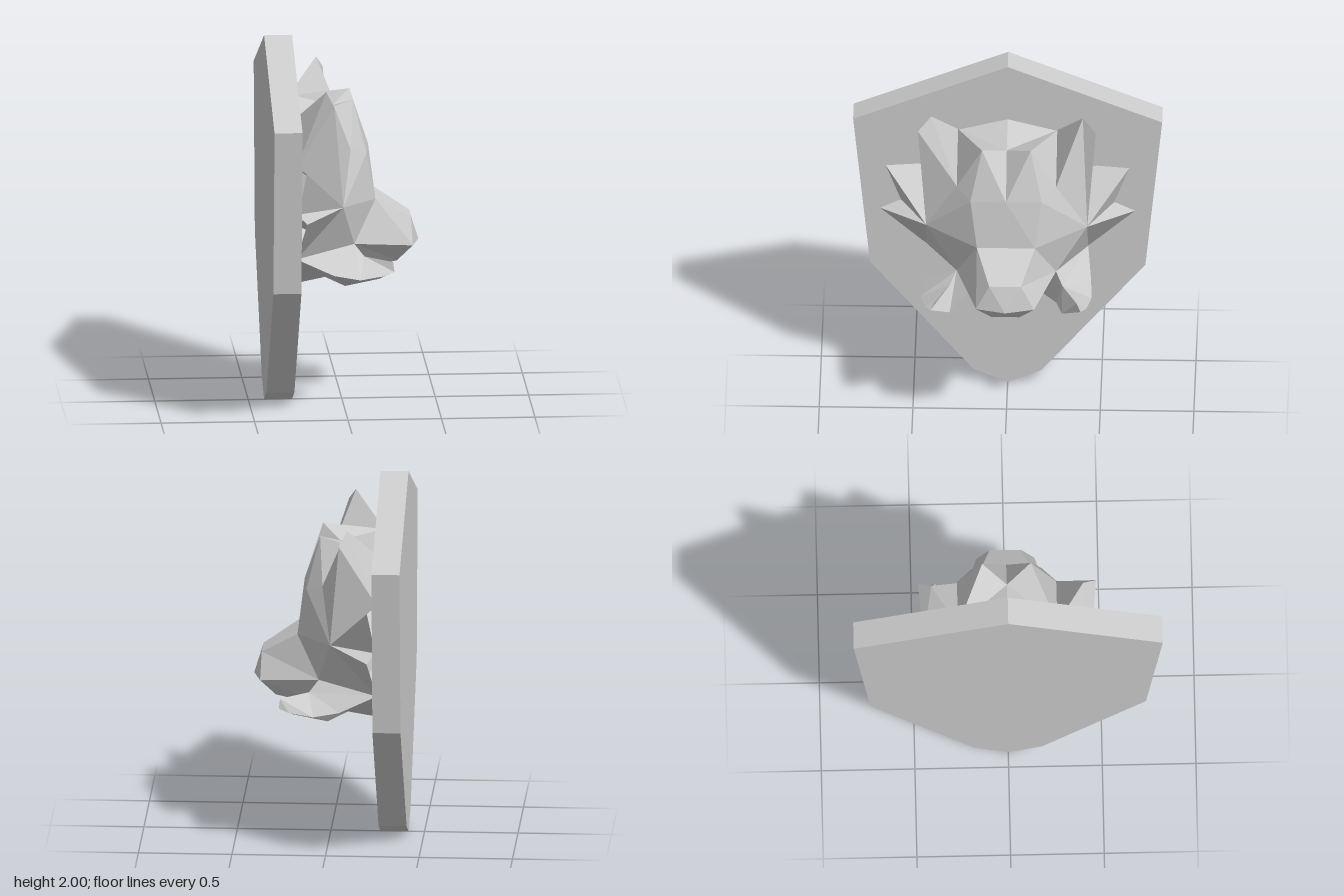
import * as THREE from 'three';

// Key points of the left half (z >= 0) of the head, which looks along +x
const P = {
  // forehead, crown and tufts
  F0: [0.14, 1.4, 0], F1: [0.12, 1.39, 0.19], M: [0.03, 1.43, 0.265], K: [0.05, 1.67, 0.13],
  N: [-0.05, 1.61, 0], R: [-0.27, 1.67, 0], Q2: [-0.27, 1.6, 0.265],
  // ear
  E: [-0.11, 1.78, 0.405], E2: [-0.07, 1.71, 0.475], Q: [-0.27, 1.38, 0.45],
  // cheek and its spikes
  H: [-0.02, 1.15, 0.43], U: [-0.23, 1.39, 0.65], V: [-0.27, 1.15, 0.57],
  L: [-0.23, 1.12, 0.68], A: [-0.27, 0.87, 0.43],
  // snout and throat
  S: [0.17, 1.13, 0.155], Sm: [0.17, 1.13, 0], T1: [0.05, 0.91, 0.265],
  N1: [0.365, 1.01, 0.085], Nm: [0.365, 1.01, 0], N2: [0.37, 0.87, 0.155], P: [0.41, 0.87, 0],
  J: [0.29, 0.77, 0.075], Jm: [0.29, 0.77, 0],
  B0: [-0.1, 0.705, 0.155], Bm: [-0.1, 0.705, 0], C: [-0.27, 0.63, 0],
  // tusk
  T2: [0.1, 0.85, 0.3], O1: [-0.07, 0.78, 0.45], O2: [0.07, 0.755, 0.455], O3: [0.2, 0.77, 0.43],
  P1: [0.25, 0.835, 0.38], P2: [0.255, 0.785, 0.4], B1: [0, 0.68, 0.265], B2: [0.18, 0.725, 0.3],
};

// Faces of each part, corners counter-clockwise from outside
const PARTS = {
  face: ['F0 F1 S', 'F0 S Sm', 'F1 M H', 'F1 H S', 'S H T1', 'H A T1'],
  crown: ['K F1 F0', 'K M F1', 'N K F0', 'N R Q2', 'N Q2 K', 'K Q2 M'],
  ear: ['M Q2 E', 'E2 H M E', 'E2 Q H', 'E Q E2', 'E Q2 Q'],
  upperCheekSpike: ['H Q U', 'H U V'],
  lowerCheekSpike: ['H V L', 'H L A'],
  snout: ['S T1 N2 N1', 'Sm S N1 Nm', 'Nm N1 P', 'N1 N2 P'],
  jaw: ['P N2 J', 'P J Jm', 'T1 B0 J N2', 'Jm J B0 Bm', 'Bm B0 C', 'B0 A C'],
  tusk: ['T1 A O1 O2 T2', 'T2 O2 O3 P2 P1', 'A B0 O1', 'O1 B0 B1 O2', 'O2 B1 B2 O3',
    'O3 B2 P2', 'T2 P1 P2 B2', 'T1 T2 B2 B1', 'T1 B1 B0'],
};

// Fans each face into triangles; side -1 mirrors it across z = 0
function facetGeometry(faces, side) {
  const pos = [];
  for (const face of faces) {
    const pts = face.split(' ').map((k) => [P[k][0], P[k][1], P[k][2] * side]);
    if (side < 0) pts.reverse();
    for (let i = 1; i < pts.length - 1; i++) pos.push(...pts[0], ...pts[i], ...pts[i + 1]);
  }
  const g = new THREE.BufferGeometry();
  g.setAttribute('position', new THREE.Float32BufferAttribute(pos, 3));
  g.computeVertexNormals();
  return g;
}

export function createModel() {
  const model = new THREE.Group();
  model.name = 'wallTrophy';
  const grey = new THREE.MeshStandardMaterial({
    name: 'light grey', color: 0xcccccc, flatShading: true, side: THREE.DoubleSide,
  });

  // Shield-shaped backing board
  const half = [[0.825, 1.66], [0.735, 0.755], [0.18, 0.08]];
  const outline = [[0, 2], ...half.map(([z, y]) => [-z, y]), [0, 0], ...half.slice().reverse()];
  const shape = new THREE.Shape(outline.map(([z, y]) => new THREE.Vector2(z, y)));
  const board = new THREE.ExtrudeGeometry(shape, { depth: 0.15, bevelEnabled: false });
  board.rotateY(Math.PI / 2).translate(-0.415, 0, 0);
  const shield = new THREE.Mesh(board, grey);
  shield.name = 'shield';
  model.add(shield);

  // Faceted head, one group per part with both mirrored halves
  const head = new THREE.Group();
  head.name = 'head';
  for (const [name, faces] of Object.entries(PARTS)) {
    const part = new THREE.Group();
    part.name = name;
    for (const side of [1, -1]) {
      const mesh = new THREE.Mesh(facetGeometry(faces, side), grey);
      mesh.name = name + (side > 0 ? 'FrontHalf' : 'BackHalf');
      part.add(mesh);
    }
    head.add(part);
  }
  model.add(head);
  return model;
}
